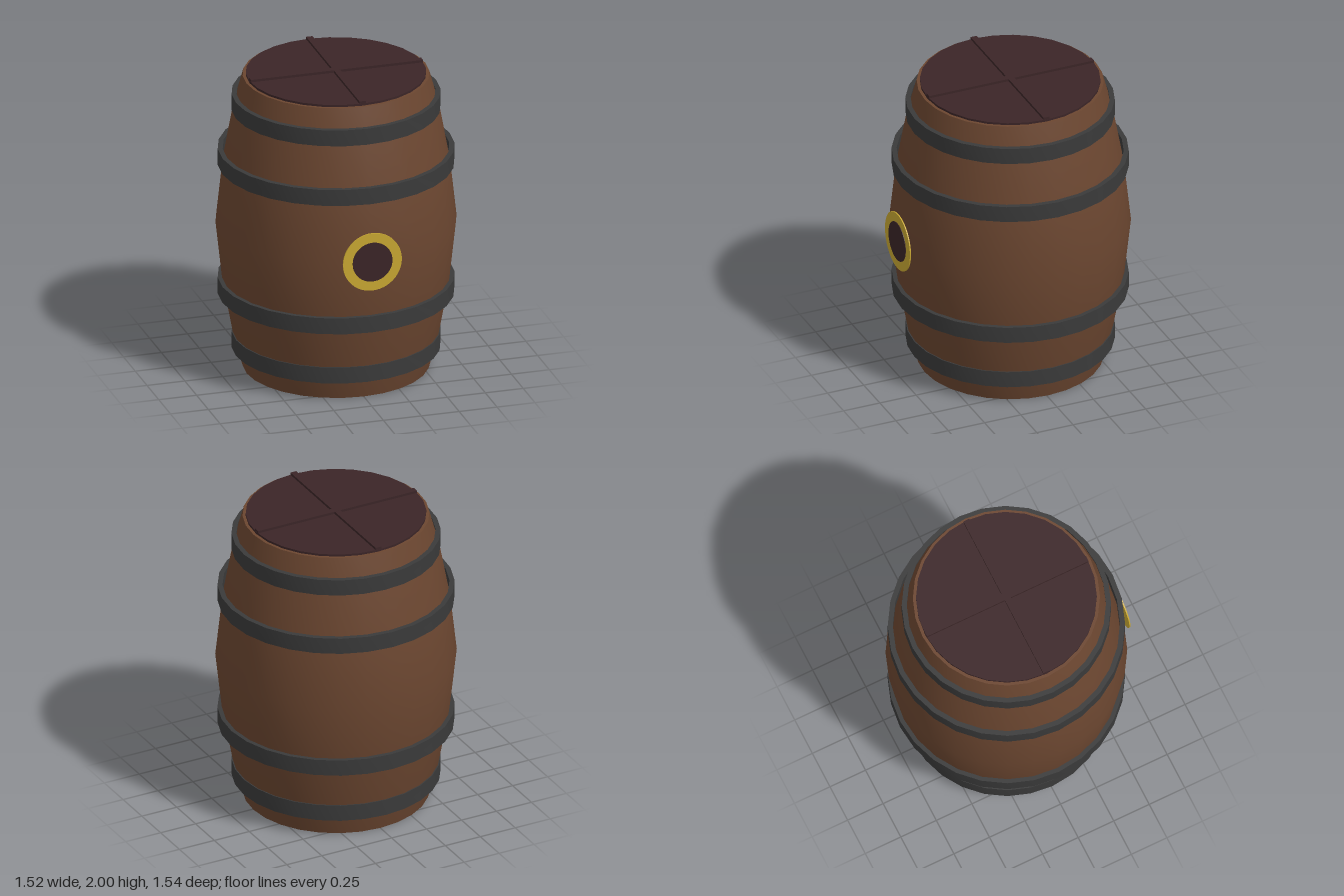
import * as THREE from 'three';
import { toCreasedNormals } from 'three/addons/utils/BufferGeometryUtils.js';

const SIDES = 28;
const MID = 0.985;   // half the height of the staves

const material = (name, color) => {
  const m = new THREE.MeshStandardMaterial({ color });
  m.name = name;
  return m;
};

// Revolve [radius, height] points, smooth around and sharp at the edges
const revolve = (points) => toCreasedNormals(
  new THREE.LatheGeometry(points.map(([r, y]) => new THREE.Vector2(r, y)), SIDES), Math.PI / 6);

export function createModel() {
  const wood = material('brown wood', 0x6b4630);
  const darkWood = material('dark wood', 0x3b2527);
  const iron = material('dark iron', 0x3a3a3a);
  const brass = material('brass', 0xc9a832);

  const model = new THREE.Group();
  model.name = 'barrel';
  const cask = new THREE.Group();
  cask.name = 'cask';
  cask.position.z = -0.009;
  model.add(cask);

  const add = (parent, name, geometry, mat, x = 0, y = 0, z = 0) => {
    const mesh = new THREE.Mesh(geometry, mat);
    mesh.name = name;
    mesh.position.set(x, y, z);
    parent.add(mesh);
    return mesh;
  };

  // Bulging body, mirrored about its middle
  const lower = [[0, 0], [0.59, 0], [0.65, 0.22], [0.72, 0.6]];
  const upper = lower.map(([r, y]) => [r, 2 * MID - y]).reverse();
  add(cask, 'body', revolve([...lower, [0.762, MID], ...upper]), wood);

  // Iron hoops, two pairs mirrored top and bottom
  for (const [name, radius, height] of [['endHoop', 0.66, 0.18], ['middleHoop', 0.748, 0.55]]) {
    const inner = radius - 0.032, h = 0.054;
    const section = [[inner, -h], [radius, -h], [radius, h], [inner, h], [inner, -h]];
    for (const [side, y] of [['Lower', height], ['Upper', 2 * MID + 0.003 - height]]) {
      add(cask, name + side, revolve(section), iron, 0, y, 0);
    }
  }

  // Lid with two crossing bars
  add(cask, 'lid', revolve([[0, 1.96], [0.57, 1.96], [0.57, 1.984], [0, 1.984]]), darkWood);
  add(cask, 'lidBarAcross', new THREE.BoxGeometry(1.136, 0.03, 0.042), darkWood, 0, 1.985, 0);
  add(cask, 'lidBarAlong', new THREE.BoxGeometry(0.042, 0.0296, 1.136), darkWood, 0, 1.985, 0);

  // Bung hole with a brass ring on the front
  const disc = (r, depth) => new THREE.CylinderGeometry(r, r, depth, 48).rotateX(Math.PI / 2);
  add(model, 'bungRing', disc(0.194, 0.008), brass, 0, 0.987, 0.764);
  add(model, 'bungHole', disc(0.131, 0.008), darkWood, 0, 0.987, 0.768);

  return model;
}
